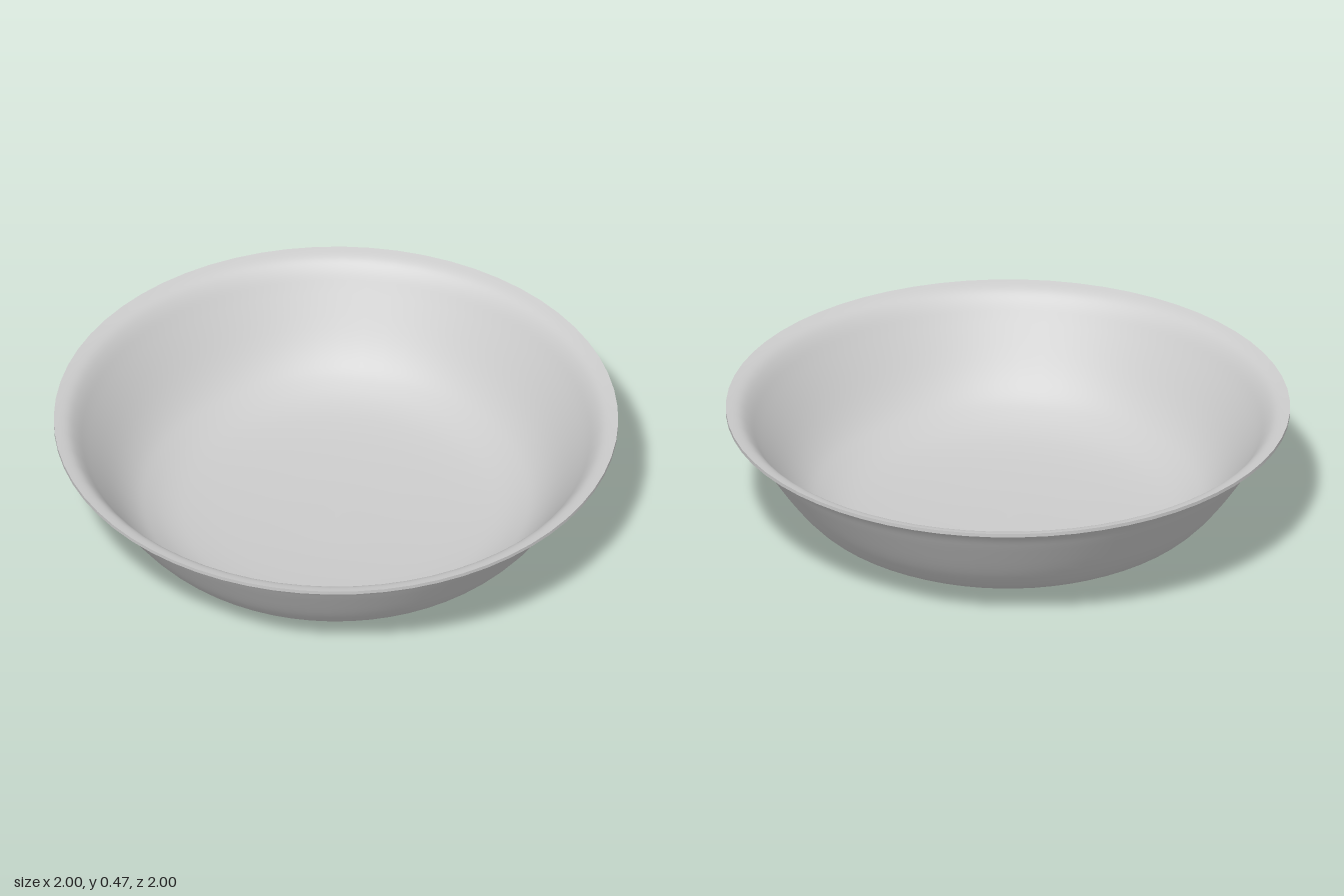
import * as THREE from 'three';

const SEGMENTS = 64;

// Smooth radial profile from a few [radius, height] points
const smooth = (pts, n) =>
  new THREE.SplineCurve(pts.map(([r, y]) => new THREE.Vector2(r, y))).getPoints(n);

export function createModel() {
  const group = new THREE.Group();
  group.name = 'bowl';
  const material = new THREE.MeshStandardMaterial({ color: 0xcccccc });

  const addLathe = (name, points) => {
    const mesh = new THREE.Mesh(new THREE.LatheGeometry(points, SEGMENTS), material);
    mesh.name = name;
    group.add(mesh);
  };

  // Outer wall, from the base centre up to the flared lip
  const outer = smooth([
    [0, 0], [0.2, 0.003], [0.4, 0.016], [0.52, 0.031], [0.6, 0.05], [0.67, 0.083],
    [0.73, 0.125], [0.8, 0.205], [0.89, 0.338], [0.93, 0.4], [0.96, 0.433], [1, 0.452],
  ], 44);

  // Inner wall, from the lip down to the floor centre
  const inner = smooth([
    [1, 0.465], [0.955, 0.452], [0.92, 0.42], [0.875, 0.352], [0.785, 0.218],
    [0.72, 0.143], [0.66, 0.1], [0.595, 0.069], [0.52, 0.05], [0.4, 0.035],
    [0.2, 0.023], [0, 0.02],
  ], 44);

  addLathe('outerWall', outer);
  // Crisp narrow edge joining both walls
  addLathe('rim', [outer[outer.length - 1], inner[0]]);
  addLathe('innerWall', inner);

  return group;
}
